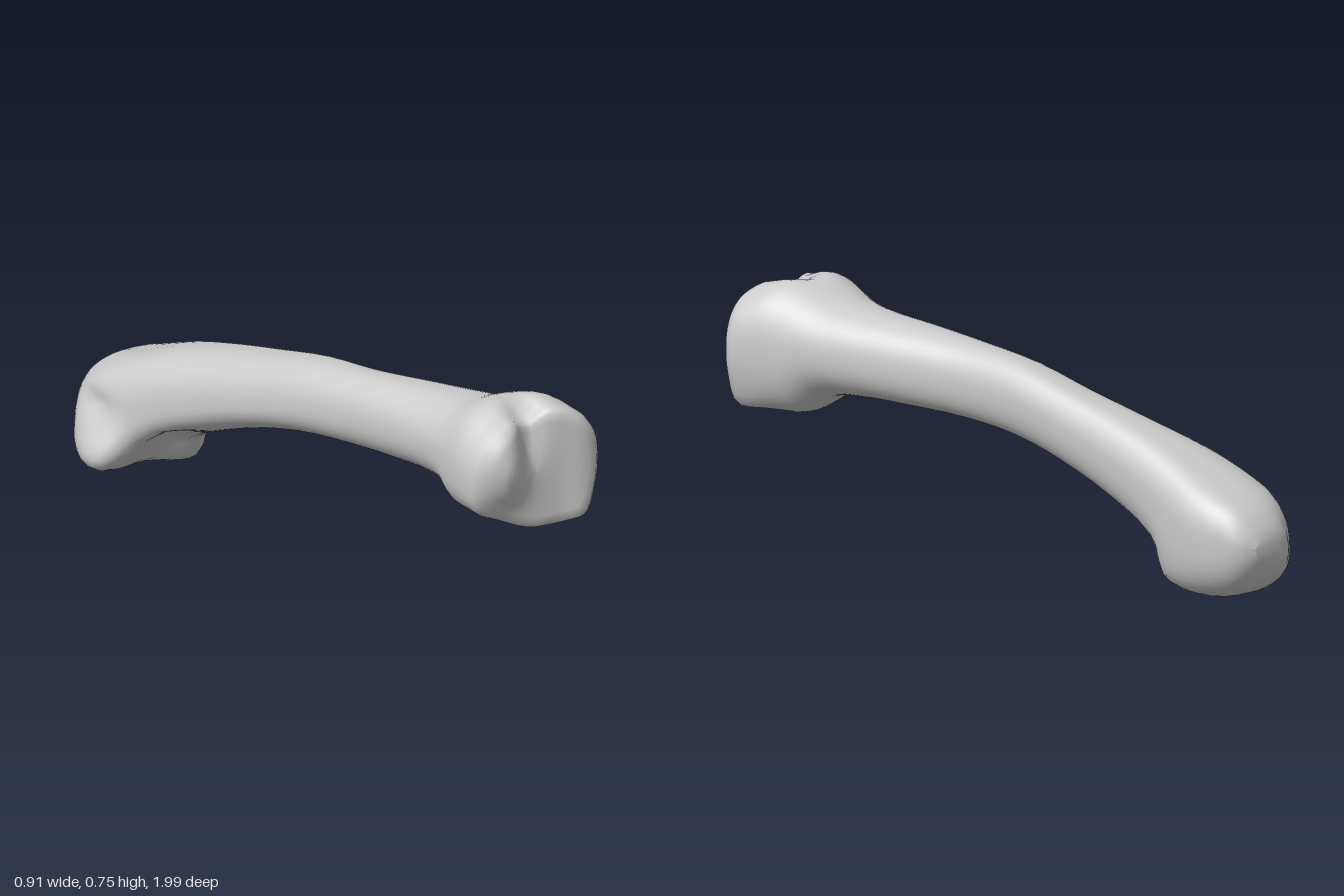
import * as THREE from 'three';

const SEG = 48;

// Shaft cross-sections: z, left x, right x, bottom y, top y, squareness
const SECTIONS = [
  [-0.998, -0.20, -0.16, 0.17, 0.22, 2],
  [-0.98, -0.29, -0.12, 0.12, 0.26, 2.2],
  [-0.94, -0.34, -0.085, 0.06, 0.31, 2.4],
  [-0.88, -0.39, -0.055, 0.02, 0.345, 2.6],
  [-0.80, -0.415, -0.033, 0.003, 0.378, 2.7],
  [-0.70, -0.395, -0.027, 0.03, 0.42, 2.7],
  [-0.60, -0.355, -0.022, 0.125, 0.46, 2.5],
  [-0.40, -0.27, 0.00, 0.235, 0.52, 2.3],
  [-0.20, -0.205, 0.033, 0.315, 0.57, 2.2],
  [0.00, -0.15, 0.07, 0.37, 0.62, 2.2],
  [0.20, -0.095, 0.125, 0.395, 0.645, 2.2],
  [0.40, -0.045, 0.215, 0.405, 0.67, 2.2],
  [0.58, -0.01, 0.30, 0.405, 0.69, 2.2],
  [0.68, -0.01, 0.345, 0.385, 0.71, 2.2],
  [0.75, -0.018, 0.385, 0.328, 0.742, 2.3],
  [0.82, -0.025, 0.42, 0.323, 0.76, 2.4],
  [0.90, -0.022, 0.455, 0.326, 0.74, 2.4],
];

// Local bulges and dents: centre, radii, push
const BUMPS = [
  [[0.20, 0.75, 0.93], [0.045, 0.09, 0.10], [0, -0.06, -0.02]],      // groove over the front end
  [[0.08, 0.36, 0.88], [0.10, 0.08, 0.2], [0.01, 0.022, 0]],         // bevel under the front end
  [[0.41, 0.36, 0.90], [0.06, 0.06, 0.10], [0.008, -0.025, 0.01]],   // lower corner of the front end
  [[-0.39, 0.10, -0.73], [0.09, 0.10, 0.13], [-0.055, -0.015, 0.05]], // outer condyle
  [[-0.10, 0.06, -0.72], [0.08, 0.10, 0.13], [0.015, -0.01, 0.06]],  // inner condyle
  [[-0.23, 0.10, -0.56], [0.06, 0.12, 0.14], [0, 0.06, 0]],          // hollow between the condyles
  [[-0.41, 0.25, -0.76], [0.07, 0.04, 0.09], [0.03, 0, 0]],          // pit above the outer condyle
];

const bell = (d, r) => Math.exp(-((d / r) ** 2));

function sculpt(p) {
  const q = p.slice();
  for (const [c, r, push] of BUMPS) {
    const w = bell(p[0] - c[0], r[0]) * bell(p[1] - c[1], r[1]) * bell(p[2] - c[2], r[2]);
    push.forEach((v, k) => { q[k] += v * w; });
  }
  return q;
}

// Depth of the front joint face: a rounded ridge, a groove, a flatter lobe and a receding lower corner
function faceDepth(x, y) {
  const ridge = 0.062 * bell(x - 0.085, 0.08) * bell(y - 0.58, 0.15);
  const groove = 0.05 * bell(x - 0.2, 0.05) * THREE.MathUtils.smoothstep(y, 0.5, 0.74);
  const lobe = 0.018 * bell(x - 0.39, 0.06);
  const corner = 0.03 * bell(x - 0.02, 0.1) * bell(y - 0.38, 0.1);
  return 0.935 + ridge + lobe - groove - corner;
}

function ring([z, x0, x1, y0, y1, n]) {
  const points = [];
  const power = (v) => Math.sign(v) * Math.abs(v) ** (2 / n);
  // the underside of the front end and the upper side of the back half lean toward +x
  const frontLean = 0.25 * THREE.MathUtils.smoothstep(z, 0.6, 0.85);
  const backLean = 1 - THREE.MathUtils.smoothstep(z, -0.2, 0.4);
  for (let j = 0; j < SEG; j++) {
    const a = (j / SEG) * Math.PI * 2;
    const u = power(Math.cos(a)), v = power(Math.sin(a));
    const lean = (frontLean * Math.max(0, -v) + 0.4 * backLean * Math.max(0, v)) * (1 - Math.abs(u));
    const tilt = 0.25 * backLean * u * (1 - Math.abs(v));
    points.push([
      (x0 + x1) / 2 + (u + lean) * (x1 - x0) / 2,
      (y0 + y1) / 2 + (v + tilt) * (y1 - y0) / 2,
      z,
    ]);
  }
  return points;
}

function boneGeometry() {
  // smooth interpolation between the sections
  const curve = new THREE.CubicInterpolant(
    SECTIONS.map((s) => s[0]), SECTIONS.flatMap((s) => s.slice(1)), 5, new Float32Array(5));
  const rings = [];
  for (let i = 0; i < SECTIONS.length - 1; i++) {
    for (let k = 0; k < 3; k++) {
      const z = THREE.MathUtils.lerp(SECTIONS[i][0], SECTIONS[i + 1][0], k / 3);
      rings.push(ring([z, ...curve.evaluate(z)]).map(sculpt));
    }
  }
  const rim = ring(SECTIONS[SECTIONS.length - 1]).map(sculpt);
  rings.push(rim);

  // front joint face: shrinking rings that follow the face depth
  for (const s of [0.97, 0.9, 0.78, 0.64, 0.5, 0.36, 0.22, 0.1, 0.001]) {
    rings.push(rim.map(([x, y, z]) => {
      const px = 0.214 + (x - 0.214) * s, py = 0.535 + (y - 0.535) * s;
      const depth = faceDepth(px, py);
      return [px, py, s > 0.95 ? THREE.MathUtils.lerp(z, depth, 0.65) : depth];
    }));
  }

  const index = [];
  for (let i = 0; i < rings.length - 1; i++) {
    for (let j = 0; j < SEG; j++) {
      const k = (j + 1) % SEG;
      const a = i * SEG + j, b = i * SEG + k, c = b + SEG, d = a + SEG;
      index.push(a, b, c, a, c, d);
    }
  }
  // close the back tip
  for (let j = 1; j < SEG - 1; j++) index.push(0, j + 1, j);

  const geometry = new THREE.BufferGeometry();
  geometry.setAttribute('position', new THREE.Float32BufferAttribute(rings.flat(2), 3));
  geometry.setIndex(index);
  geometry.computeVertexNormals();
  return geometry;
}

export function createModel() {
  const group = new THREE.Group();
  group.name = 'bone';
  const shaft = new THREE.Mesh(boneGeometry(), new THREE.MeshStandardMaterial({ color: 0xcccccc }));
  shaft.name = 'shaftWithJointEnds';
  group.add(shaft);
  return group;
}
